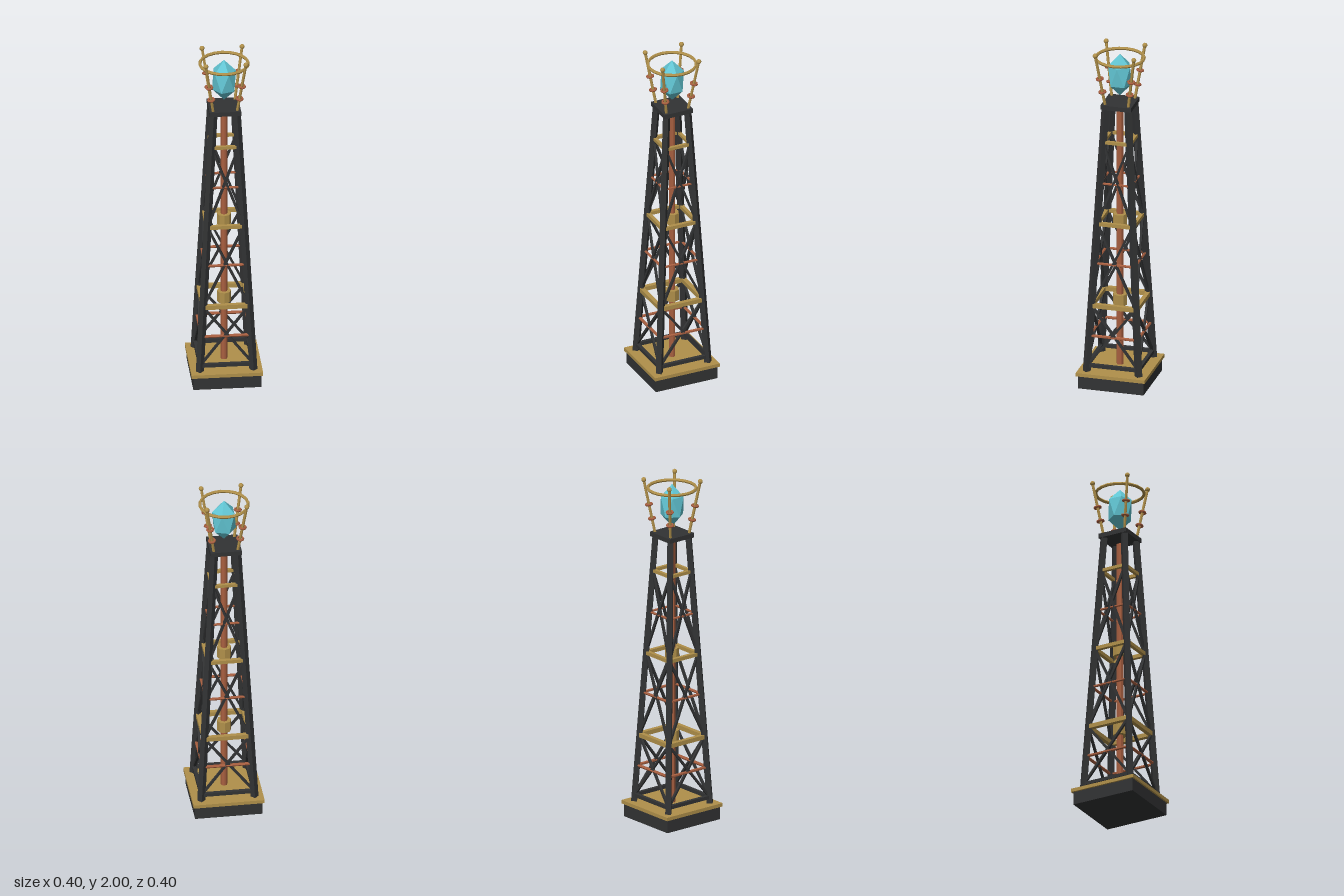
import * as THREE from 'three';
import { ConvexGeometry } from 'three/addons/geometries/ConvexGeometry.js';

const V = (x, y, z) => new THREE.Vector3(x, y, z);

function material(name, color) {
  const m = new THREE.MeshStandardMaterial({ color, flatShading: true });
  m.name = name;
  return m;
}

export function createModel() {
  const iron = material('dark iron', 0x323334);
  const brass = material('brass', 0xb0904a);
  const copper = material('copper', 0xa85f40);
  const crystalBlue = material('crystal blue', 0x62c6d4);
  const model = new THREE.Group();
  model.name = 'crystalTower';

  const add = (name, geometry, mat, x = 0, y = 0, z = 0) => {
    const mesh = new THREE.Mesh(geometry, mat);
    mesh.name = name;
    mesh.position.set(x, y, z);
    model.add(mesh);
    return mesh;
  };
  // square beam between two points
  const beam = (name, a, b, size, mat) => {
    const mesh = add(name, new THREE.BoxGeometry(size, size, a.distanceTo(b)), mat);
    mesh.position.copy(a).lerp(b, 0.5);
    mesh.lookAt(b);
    return mesh;
  };
  // round rod between two points
  const rod = (name, a, b, radius, mat, sides = 6) => {
    const mesh = add(name, new THREE.CylinderGeometry(radius, radius, a.distanceTo(b), sides), mat);
    mesh.position.copy(a).lerp(b, 0.5);
    mesh.quaternion.setFromUnitVectors(V(0, 1, 0), b.clone().sub(a).normalize());
    return mesh;
  };

  // stepped base and top plate
  add('base', new THREE.BoxGeometry(0.38, 0.077, 0.38), iron, 0, 0.0385, 0);
  add('baseSlab', new THREE.BoxGeometry(0.4, 0.02, 0.4), brass, 0, 0.085, 0);
  add('topPlate', new THREE.BoxGeometry(0.176, 0.026, 0.176), iron, 0, 1.668, 0);

  // leg centre offset at a given height
  const legAt = (y) => 0.15 - 0.085 * (y - 0.09) / 1.575;
  const corners = [[1, 1], [1, -1], [-1, -1], [-1, 1]];
  const corner = (i, y) => V(corners[i % 4][0] * legAt(y), y, corners[i % 4][1] * legAt(y));

  const brassLevels = [[0.485, 0.025], [0.97, 0.021], [1.455, 0.018]];
  const copperLevels = [[0.305, 0.009], [0.735, 0.008], [1.21, 0.007]];
  const braceLevels = [0.13, 0.485, 0.97, 1.455];
  for (let i = 0; i < 4; i++) {
    beam('leg', corner(i, 0.09), corner(i, 1.665), 0.032, iron);
    // horizontal rails of each side
    beam('bottomRail', corner(i, 0.13), corner(i + 1, 0.13), 0.02, iron);
    for (const [y, s] of brassLevels) beam('brassRail', corner(i, y), corner(i + 1, y), s, brass);
    for (const [y, r] of copperLevels) rod('copperRail', corner(i, y), corner(i + 1, y), r, copper);
    // crossed braces
    for (let k = 0; k < 3; k++) {
      const lo = braceLevels[k], hi = braceLevels[k + 1];
      beam('brace', corner(i, lo), corner(i + 1, hi), 0.013, iron);
      beam('brace', corner(i + 1, lo), corner(i, hi), 0.013, iron);
    }
  }

  // central pipe with collars
  rod('centralPipe', V(0, 0.09, 0), V(0, 1.63, 0), 0.019, copper, 8);
  for (const y of [0.487, 0.972]) {
    add('pipeCollar', new THREE.CylinderGeometry(0.04, 0.04, 0.065, 8), brass, 0, y, 0);
  }

  // leaning prongs with ball tips and copper rings
  for (const [sx, sz] of corners) {
    const foot = V(sx * 0.067, 1.675, sz * 0.067), tip = V(sx * 0.112, 1.986, sz * 0.112);
    const prong = rod('prong', foot, tip, 0.0085, brass);
    add('prongTip', new THREE.SphereGeometry(0.014, 10, 8), brass, tip.x, tip.y, tip.z);
    for (const y of [1.76, 1.842]) {
      const p = foot.clone().lerp(tip, (y - foot.y) / (tip.y - foot.y));
      const ring = new THREE.TorusGeometry(0.017, 0.007, 6, 8).rotateX(Math.PI / 2);
      add('prongRing', ring, copper, p.x, p.y, p.z).quaternion.copy(prong.quaternion);
    }
  }
  add('haloRing', new THREE.TorusGeometry(0.135, 0.009, 6, 20).rotateX(Math.PI / 2), brass, 0, 1.943, 0);

  // tall twenty-sided crystal
  const points = [V(0, 0.125, 0), V(0, -0.125, 0)];
  for (let i = 0; i < 10; i++) {
    const a = i * Math.PI / 5;
    points.push(V(0.067 * Math.cos(a), i % 2 ? -0.056 : 0.056, 0.067 * Math.sin(a)));
  }
  add('crystal', new ConvexGeometry(points), crystalBlue, 0, 1.841, 0);

  return model;
}
